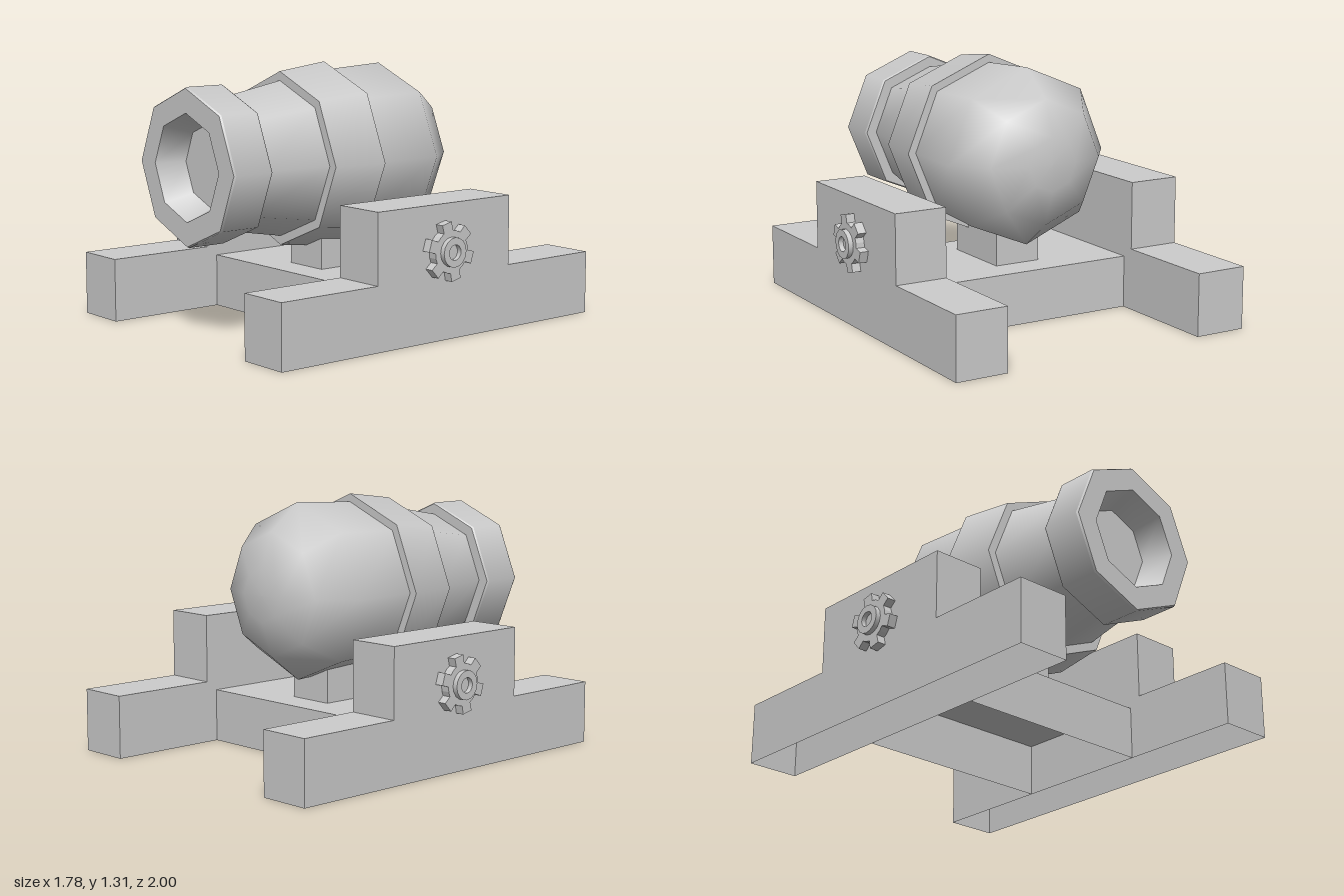
import * as THREE from 'three';

const material = new THREE.MeshStandardMaterial({ color: 0xcccccc, side: THREE.DoubleSide });
const AXIS_Y = 0.835;

function part(name, geometry, parent) {
  const mesh = new THREE.Mesh(geometry, material);
  mesh.name = name;
  parent.add(mesh);
  return mesh;
}

// Drops the faces lying on one level, leaving a hollow shell
function openBottom(geometry, level = 0) {
  const src = geometry.index ? geometry.toNonIndexed() : geometry;
  const p = src.attributes.position;
  const kept = [];
  for (let i = 0; i < p.count; i += 3) {
    const flat = [0, 1, 2].every((k) => Math.abs(p.getY(i + k) - level) < 1e-4);
    if (!flat) for (let k = 0; k < 3; k++) kept.push(p.getX(i + k), p.getY(i + k), p.getZ(i + k));
  }
  const out = new THREE.BufferGeometry();
  out.setAttribute('position', new THREE.Float32BufferAttribute(kept, 3));
  out.computeVertexNormals();
  return out;
}

// Eight-sided turned section along z; profile points are [radius, z]
function turned(profile) {
  const pts = profile.map(([r, z]) => new THREE.Vector2(r, z));
  return new THREE.LatheGeometry(pts, 8).rotateX(Math.PI / 2).translate(0, AXIS_Y, 0);
}

// Each pair of points is its own section, so the ring edges stay sharp
function turnedSharp(name, profile, parent) {
  const group = new THREE.Group();
  group.name = name;
  for (let i = 0; i < profile.length - 1; i++) part(name + 'Face', turned([profile[i], profile[i + 1]]), group);
  parent.add(group);
}

function railGeometry() {
  const s = new THREE.Shape();
  [[-1, 0], [1, 0], [1, 0.32], [0.43, 0.32], [0.43, 0.67], [-0.43, 0.67], [-0.43, 0.32], [-1, 0.32]]
    .forEach(([x, y], i) => (i ? s.lineTo(x, y) : s.moveTo(x, y)));
  const g = new THREE.ExtrudeGeometry(s, { depth: 0.275, bevelEnabled: false });
  return openBottom(g.rotateY(Math.PI / 2).translate(0.545, 0, 0));
}

function gearGeometry() {
  const pts = [];
  const polar = (r, a) => pts.push(new THREE.Vector2(r * Math.cos(a), r * Math.sin(a)));
  for (let i = 0; i < 6; i++) {
    const a = Math.PI / 4 + (i * Math.PI) / 3 - 0.04;
    polar(0.105, a - 0.28);
    polar(0.147, a - 0.21);
    polar(0.147, a + 0.21);
    polar(0.105, a + 0.28);
    polar(0.105, a + Math.PI / 6);
  }
  const g = new THREE.ExtrudeGeometry(new THREE.Shape(pts), { depth: 0.045, bevelEnabled: false });
  return g.rotateY(Math.PI / 2);
}

function buildGear() {
  const gear = new THREE.Group();
  gear.name = 'axleGear';
  part('gearWheel', gearGeometry(), gear);
  // Raised hub with a shallow centre hole
  const profile = [[0.073, 0], [0.073, 0.07], [0.038, 0.07], [0.038, 0.045], [0, 0.045]];
  for (let i = 0; i < profile.length - 1; i++) {
    const pts = [profile[i], profile[i + 1]].map(([r, x]) => new THREE.Vector2(r, x));
    part('gearHub', new THREE.LatheGeometry(pts, 16).rotateZ(-Math.PI / 2), gear);
  }
  gear.position.set(0.82, 0.44, 0);
  return gear;
}

export function createModel() {
  const model = new THREE.Group();
  model.name = 'cannon';

  // Carriage: two stepped rails with gears, joined by a cross block
  const carriage = new THREE.Group();
  carriage.name = 'carriage';
  model.add(carriage);
  for (const [name, turn] of [['leftSide', 0], ['rightSide', Math.PI]]) {
    const side = new THREE.Group();
    side.name = name;
    side.rotation.y = turn;
    part('rail', railGeometry(), side);
    side.add(buildGear());
    carriage.add(side);
  }
  part('crossBlock', openBottom(new THREE.BoxGeometry(1.09, 0.27, 0.735).translate(0, 0.135, 0)), carriage);
  part('pedestal', openBottom(new THREE.BoxGeometry(0.25, 0.18, 0.4).translate(0, 0.36, 0), 0.27), carriage);

  // Barrel, from the rounded rear to the muzzle
  const barrel = new THREE.Group();
  barrel.name = 'barrel';
  model.add(barrel);
  part('breech', turned([[0, -0.527], [0.135, -0.525], [0.315, -0.46], [0.45, -0.285], [0.43, 0.09]]), barrel);
  turnedSharp('middleBand', [[0.42, 0.08], [0.473, 0.08], [0.437, 0.365], [0.37, 0.365]], barrel);
  part('neck', turned([[0.392, 0.36], [0.328, 0.715]]), barrel);
  turnedSharp('muzzleRing', [
    [0.31, 0.71], [0.384, 0.71], [0.39, 0.72], [0.39, 0.925], [0.384, 0.935],
    [0.265, 0.935], [0.21, 0.79], [0, 0.79],
  ], barrel);
  return model;
}
